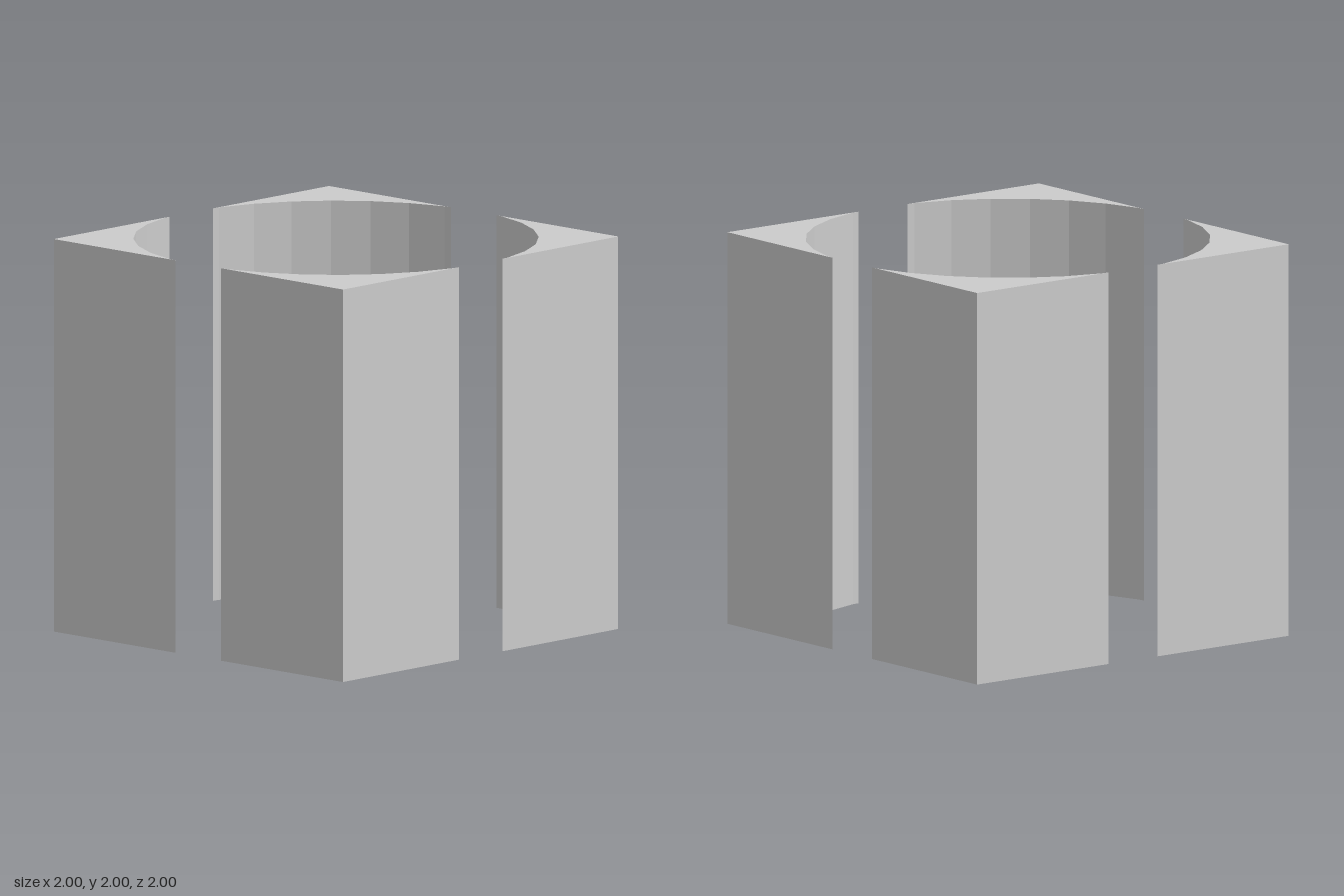
import * as THREE from 'three';

const HEIGHT = 2;
const HALF = 1;
const BORE_RADIUS = 1.0155; // slightly wider than the block, so it splits into four corners
const BORE_SIDES = 32;

// Footprint of one corner: square corner minus the faceted bore
function cornerShape() {
  const step = (Math.PI * 2) / BORE_SIDES;
  const apothem = BORE_RADIUS * Math.cos(step / 2);
  // where the first bore facet crosses the outer face
  const cut = (apothem - HALF * Math.cos(step / 2)) / Math.sin(step / 2);
  const shape = new THREE.Shape();
  shape.moveTo(HALF, HALF);
  shape.lineTo(cut, HALF);
  for (let i = BORE_SIDES / 4 - 1; i >= 1; i--) {
    shape.lineTo(BORE_RADIUS * Math.cos(i * step), BORE_RADIUS * Math.sin(i * step));
  }
  shape.lineTo(HALF, cut);
  shape.closePath();
  return shape;
}

export function createModel() {
  const group = new THREE.Group();
  group.name = 'splitBoredBlock';
  const material = new THREE.MeshStandardMaterial({ color: 0xcccccc, flatShading: true });

  // Upright extrusion standing on the ground
  const geometry = new THREE.ExtrudeGeometry(cornerShape(), { depth: HEIGHT, bevelEnabled: false });
  geometry.rotateX(-Math.PI / 2);

  // Four identical corner posts around the bore
  const names = ['frontLeftCorner', 'backLeftCorner', 'backRightCorner', 'frontRightCorner'];
  names.forEach((name, i) => {
    const post = new THREE.Mesh(geometry, material);
    post.name = name;
    post.rotation.y = ((i - 1) * Math.PI) / 2;
    group.add(post);
  });
  return group;
}
